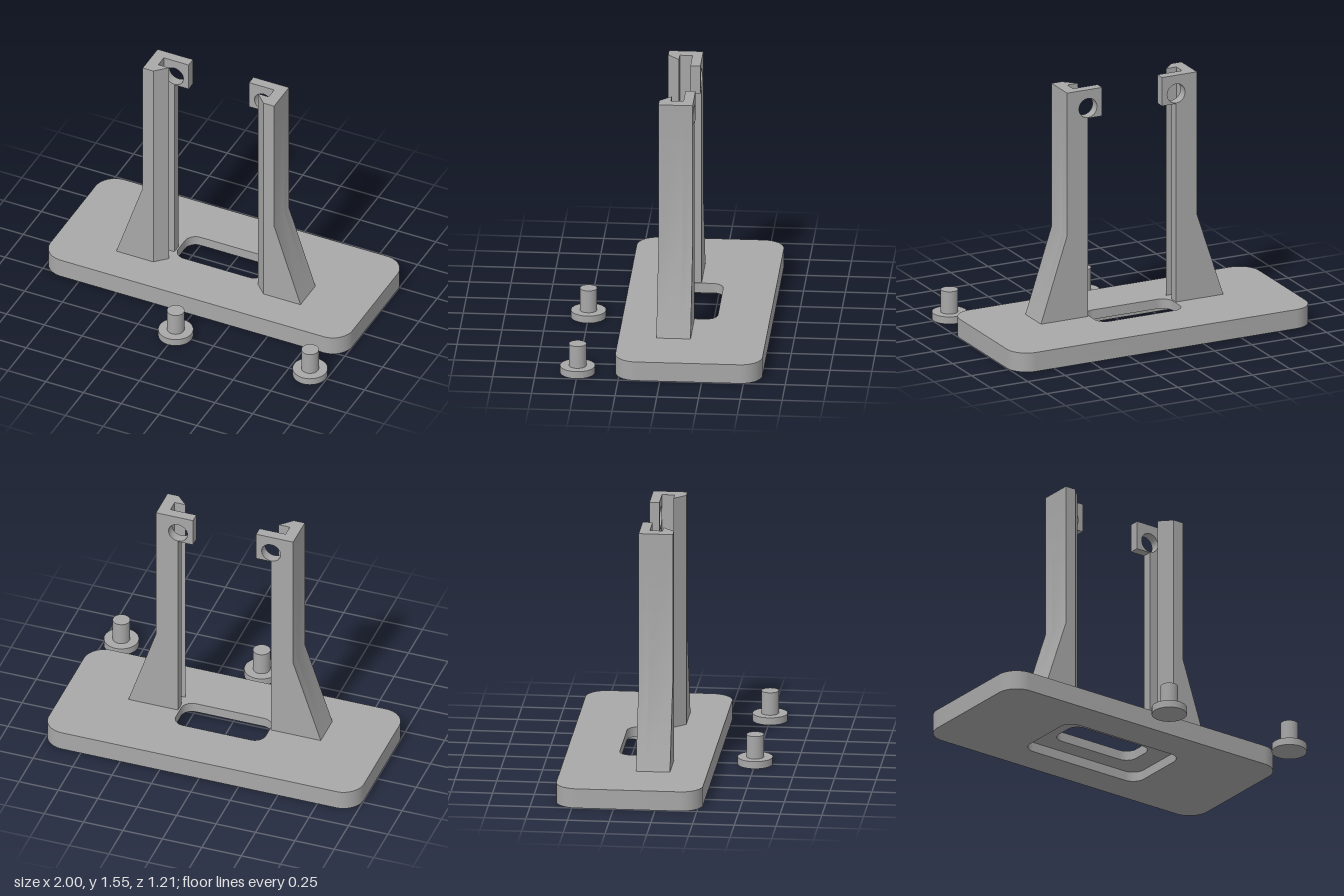
import * as THREE from 'three';
import { toCreasedNormals } from 'three/addons/utils/BufferGeometryUtils.js';

const grey = new THREE.MeshStandardMaterial({ color: 0xa8a8a8 });
grey.name = 'plain grey';

function part(name, geometry, parent) {
  const mesh = new THREE.Mesh(geometry, grey);
  mesh.name = name;
  parent.add(mesh);
  return mesh;
}

function roundedRect(path, cx, cy, hx, hy, r) {
  path.absarc(cx + hx - r, cy + hy - r, r, 0, Math.PI / 2);
  path.absarc(cx - hx + r, cy + hy - r, r, Math.PI / 2, Math.PI);
  path.absarc(cx - hx + r, cy - hy + r, r, Math.PI, Math.PI * 1.5);
  path.absarc(cx + hx - r, cy - hy + r, r, Math.PI * 1.5, Math.PI * 2);
  path.closePath();
  return path;
}

function extrude(shape, depth) {
  const g = new THREE.ExtrudeGeometry(shape, { depth, bevelEnabled: false, curveSegments: 16 });
  return toCreasedNormals(g, 0.5);
}

// One layer of the base plate: rounded outline with a rounded opening
function plateLayer(hx, hz, r, y0, y1) {
  const shape = roundedRect(new THREE.Shape(), 0, 0.165, 1, 0.44, 0.13);
  shape.holes.push(roundedRect(new THREE.Path(), 0, 0.175, hx, hz, r));
  return extrude(shape, y1 - y0).rotateX(-Math.PI / 2).translate(0, y0, 0);
}

// Grooved upright on side s (+1 or -1)
function upright(s) {
  const post = new THREE.Group();
  post.name = s > 0 ? 'leftUpright' : 'rightUpright';
  const outline = (pts) => new THREE.Shape(pts.map(([x, y]) => new THREE.Vector2(s * x, y)));

  // Back wall with the drilled tab at its top
  const back = outline([[0.61, 0.12], [0.435, 0.65], [0.435, 1.55], [0.2, 1.55],
    [0.2, 1.37], [0.295, 1.37], [0.295, 0.12]]);
  back.holes.push(new THREE.Path().absarc(s * 0.295, 1.435, 0.06, 0, Math.PI * 2));
  part('backWallWithTab', extrude(back, 0.06).translate(0, 0, -0.155), post);

  // Outer wall with the sloped foot
  const outer = outline([[0.61, 0.12], [0.435, 0.65], [0.435, 1.55], [0.365, 1.55], [0.365, 0.12]]);
  part('outerWall', extrude(outer, 0.145).translate(0, 0, -0.095), post);

  // Chamfered lip closing the groove at the front
  const lip = outline([[0.365, 0.02], [0.295, 0.02], [0.365, -0.05]]);
  part('frontLip', extrude(lip, 1.43).rotateX(-Math.PI / 2).translate(0, 0.12, 0), post);
  return post;
}

// Loose peg: flat disc head with a shaft
function peg(name, x) {
  const group = new THREE.Group();
  group.name = name;
  part('pegHead', new THREE.CylinderGeometry(0.105, 0.105, 0.045, 48), group).position.y = 0.0225;
  part('pegShaft', new THREE.CylinderGeometry(0.052, 0.052, 0.14, 40), group).position.y = 0.115;
  group.position.set(x, 0, 0.5);
  return group;
}

export function createModel() {
  const model = new THREE.Group();
  model.name = 'stand';

  // Base plate: wide recess underneath, narrower slot through the top
  const base = new THREE.Group();
  base.name = 'basePlate';
  part('recessedLayer', plateLayer(0.42, 0.23, 0.08, 0, 0.06), base);
  part('slottedLayer', plateLayer(0.285, 0.115, 0.07, 0.06, 0.12), base);
  model.add(base);

  for (const s of [-1, 1]) model.add(upright(s));
  model.add(peg('centrePeg', 0), peg('sidePeg', 0.89));
  return model;
}
